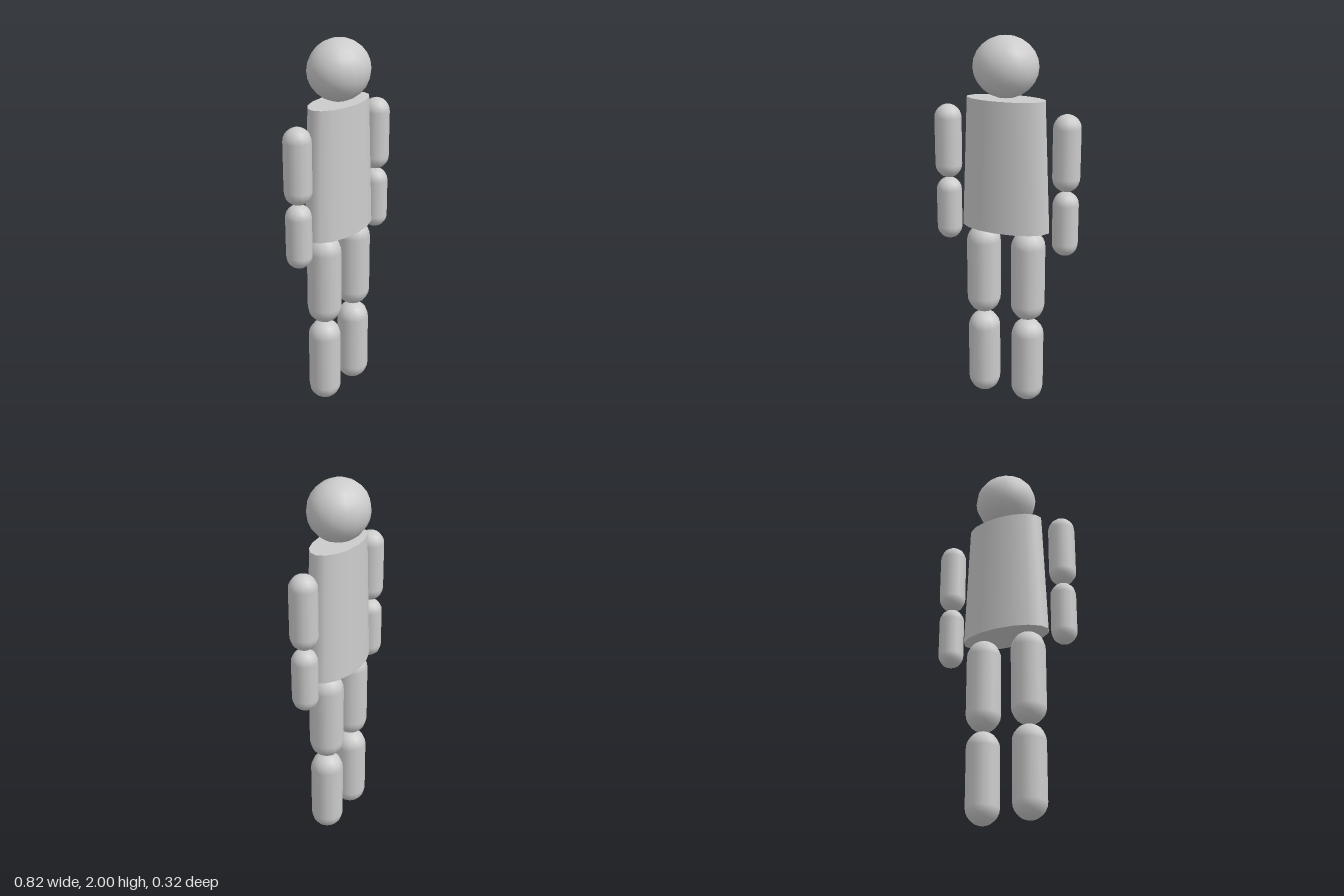
import * as THREE from 'three';

const material = new THREE.MeshStandardMaterial({ color: 0xcccccc });

export function createModel() {
  const model = new THREE.Group();
  model.name = 'mannequin';

  const add = (name, geometry, x, y) => {
    const mesh = new THREE.Mesh(geometry, material);
    mesh.name = name;
    mesh.position.set(x, y, 0);
    model.add(mesh);
    return mesh;
  };

  // Capsule limb segment spanning the heights bottom to top
  const limb = (name, x, radius, bottom, top) =>
    add(name, new THREE.CapsuleGeometry(radius, top - bottom - 2 * radius, 6, 12),
      x, (bottom + top) / 2);

  // Head: slightly widened sphere
  const head = add('head', new THREE.SphereGeometry(0.158, 16, 12), 0, 1.842);
  head.scale.x = 1.09;

  // Torso: tapered elliptical trunk, rotated so a corner lies on the x axis
  const trunk = new THREE.CylinderGeometry(0.22, 0.25, 0.69, 16);
  const torso = add('torso', trunk, 0, 1.337);
  torso.scale.z = 0.5;

  // Arms and legs, mirrored
  for (const [side, s] of [['left', 1], ['right', -1]]) {
    limb(`${side}UpperArm`, s * 0.34, 0.072, 1.23, 1.628);
    limb(`${side}Forearm`, s * 0.34, 0.068, 0.886, 1.23);
    limb(`${side}Thigh`, s * 0.132, 0.092, 0.484, 0.992);
    limb(`${side}Shin`, s * 0.132, 0.088, 0, 0.484);
  }
  return model;
}
